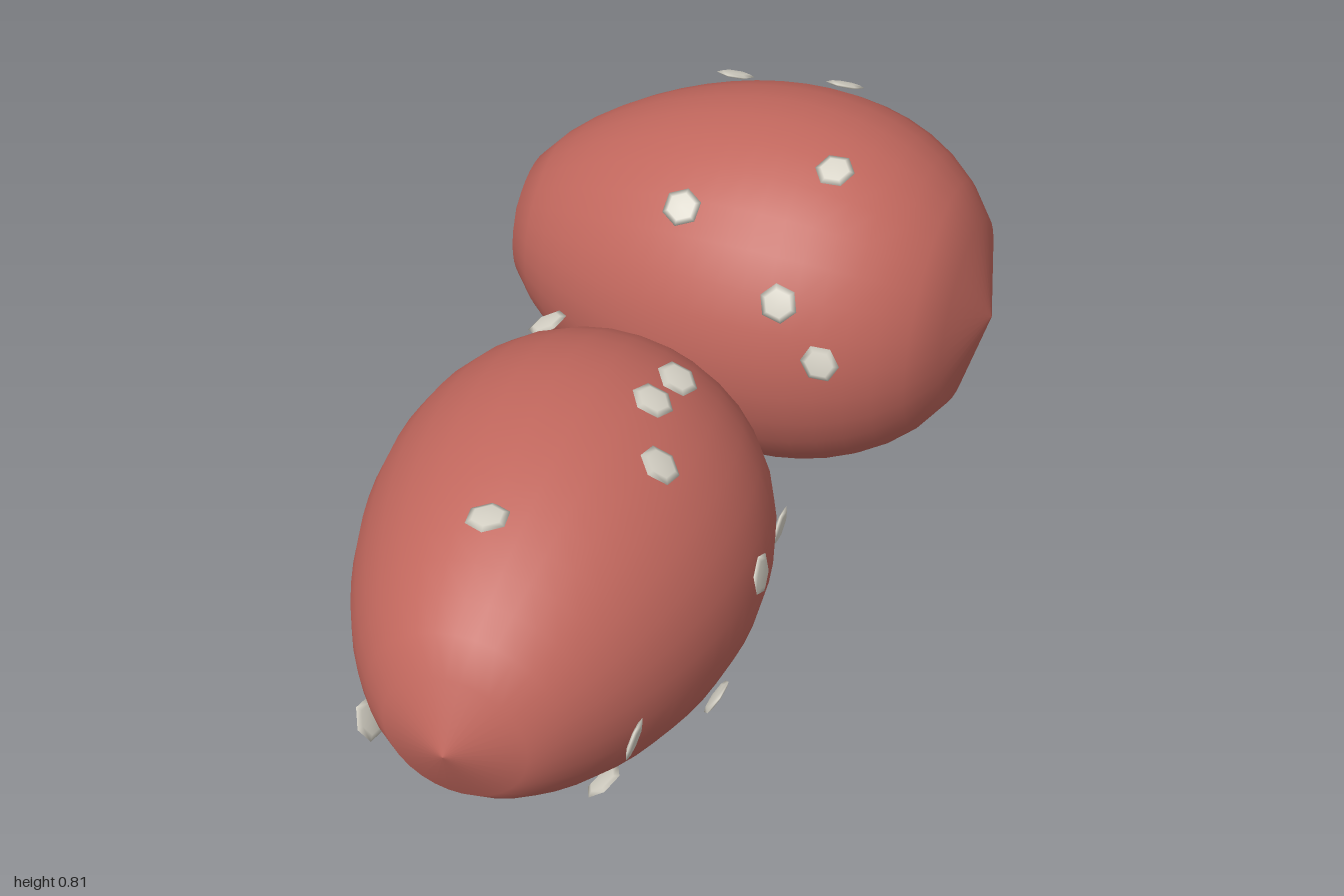
import * as THREE from 'three';

const UP = new THREE.Vector3(0, 1, 0);

// Egg radius at t = -1 (blunt end) to 1 (pointed end)
const eggRadius = (t, r) => r * Math.sqrt(Math.max(0, 1 - t * t)) * (1 - 0.18 * t);

export function createModel() {
  const shellMat = new THREE.MeshStandardMaterial({ color: 0xc1675d });
  shellMat.name = 'red shell';
  const spotMat = new THREE.MeshStandardMaterial({ color: 0xd8d4c8 });
  spotMat.name = 'pale speckle';

  // Flattened six-sided speckle shared by both eggs
  const spotGeo = new THREE.SphereGeometry(0.042, 6, 4);
  spotGeo.scale(1, 0.15, 1);

  // Lying egg: lathed shell, with speckles set radially around its long axis
  function makeEgg(name, centre, tip, r, half, spots) {
    const egg = new THREE.Group();
    egg.name = name;
    egg.position.set(...centre);
    egg.quaternion.setFromUnitVectors(UP, new THREE.Vector3(...tip).normalize());
    egg.updateMatrixWorld();

    const profile = [];
    for (let i = 0; i <= 20; i++) {
      const t = i / 10 - 1;
      profile.push(new THREE.Vector2(eggRadius(t, r), t * half));
    }
    const shell = new THREE.Mesh(new THREE.LatheGeometry(profile, 32), shellMat);
    shell.name = 'shell';
    egg.add(shell);

    for (const p of spots) {
      const local = egg.worldToLocal(new THREE.Vector3(...p));
      const out = new THREE.Vector3(local.x, 0, local.z).normalize();
      const spot = new THREE.Mesh(spotGeo, spotMat);
      spot.name = 'speckle';
      spot.position.copy(out).multiplyScalar(eggRadius(local.y / half, r) + 0.016);
      spot.position.y = local.y;
      spot.quaternion.setFromUnitVectors(UP, out);
      egg.add(spot);
    }
    return egg;
  }

  const model = new THREE.Group();
  model.name = 'speckledEggs';
  model.add(
    makeEgg('frontEgg', [0.23, 0.4, 0.485], [0.317, 0, 0.948], 0.384, 0.533, [
      [-0.03, 0.70, 0.19], [0.33, 0.76, 0.23], [0.35, 0.78, 0.33],
      [0.445, 0.735, 0.43], [0.29, 0.727, 0.73], [0.595, 0.47, 0.31],
      [0.605, 0.345, 0.70], [0.455, 0.36, 0.075], [0.565, 0.205, 0.405],
      [0.505, 0.165, 0.68], [0.15, 0.285, 0.92],
    ]),
    makeEgg('backEgg', [-0.081, 0.417, -0.552], [-0.957, 0, 0.291], 0.403, 0.558, [
      [-0.22, 0.79, -0.68], [0, 0.80, -0.78], [0.185, 0.81, -0.475],
      [-0.05, 0.725, -0.265], [0.215, 0.605, -0.25], [0.31, 0.485, -0.275],
      [-0.21, 0.50, -0.935], [-0.285, 0.155, -0.275], [-0.01, 0.285, -0.165],
      [0, 0.175, -0.225],
    ]),
  );
  return model;
}
